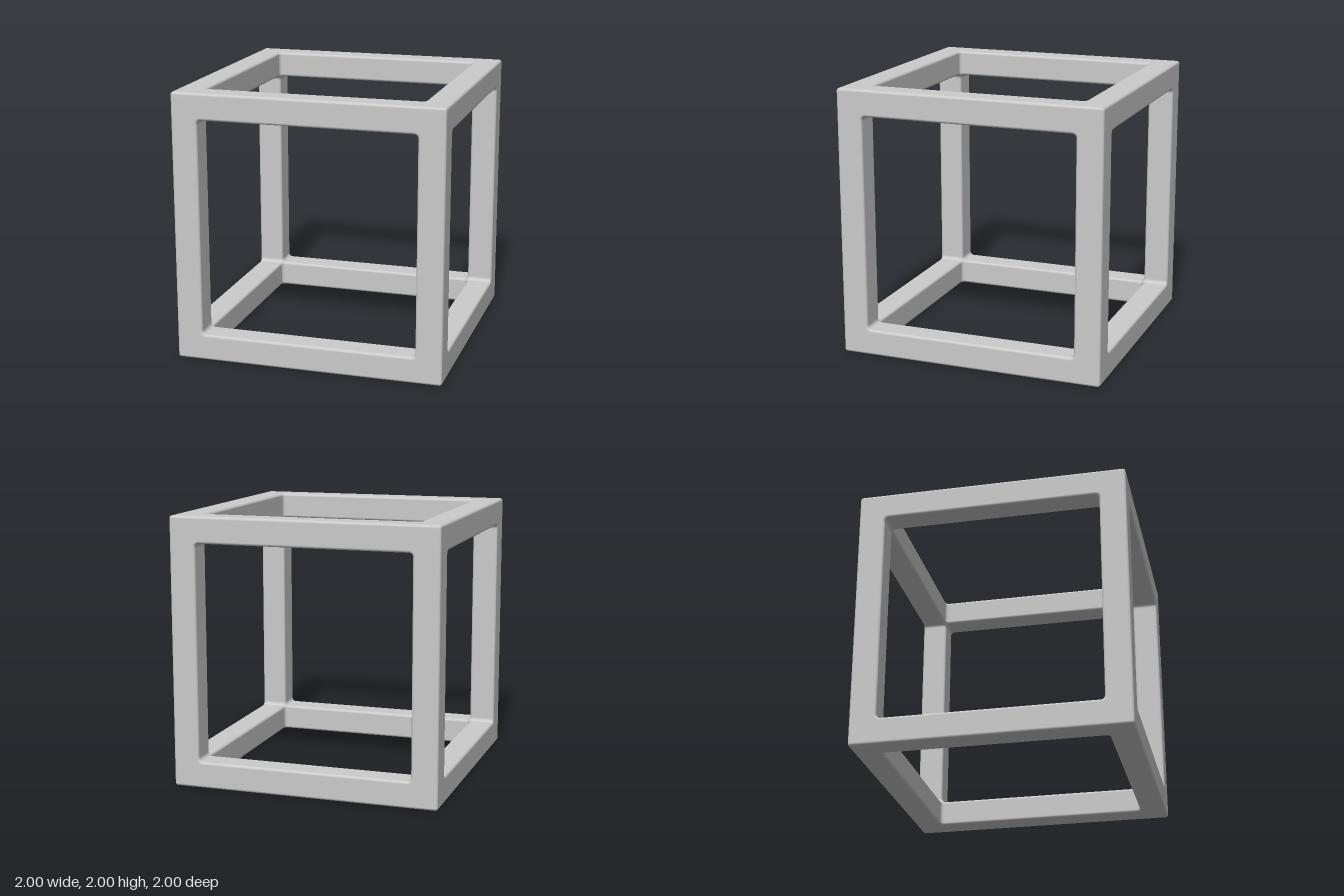
import * as THREE from 'three';

const OUTER = 1;      // half size of the cube
const INNER = 0.804;  // half size of the square openings
const ROUND = 0.02;   // radius of the outside edges
const FILLET = 0.03;  // radius of the opening corners

// Signed distance to one square opening with rounded corners
function opening(u, v) {
  const a = u - INNER + FILLET, b = v - INNER + FILLET;
  return Math.hypot(Math.max(a, 0), Math.max(b, 0)) + Math.min(Math.max(a, b), 0) - FILLET;
}

// Distance to the frame: cube minus three square tunnels, with rounded edges
function frameDistance(p) {
  const x = Math.abs(p.x), y = Math.abs(p.y), z = Math.abs(p.z);
  const d = [x - OUTER, y - OUTER, z - OUTER, -opening(y, z), -opening(x, z), -opening(x, y)];
  return Math.min(-ROUND, Math.max(...d)) + Math.hypot(...d.map((v) => Math.max(v + ROUND, 0)));
}

function gradient(p) {
  const e = 1e-4, g = new THREE.Vector3();
  for (const k of ['x', 'y', 'z']) {
    const a = p.clone(), b = p.clone();
    a[k] += e;
    b[k] -= e;
    g[k] = (frameDistance(a) - frameDistance(b)) / (2 * e);
  }
  return g;
}

// Rounded square cross-section of a beam, counter-clockwise in (y, z)
function beamSection() {
  const c = (OUTER + INNER) / 2, h = (OUTER - INNER) / 2 - ROUND, points = [];
  const arc = 6;
  for (let q = 0; q < 4; q++) {
    const mid = Math.PI / 4 + q * Math.PI / 2;
    for (let i = 0; i <= arc; i++) {
      const a = q * Math.PI / 2 + (i / arc) * Math.PI / 2;
      points.push([
        c + h * Math.sign(Math.cos(mid)) + ROUND * Math.cos(a),
        c + h * Math.sign(Math.sin(mid)) + ROUND * Math.sin(a),
      ]);
    }
  }
  return points;
}

// Beam along x, mitred where it meets its neighbours, drawn onto the rounded surface
function beamGeometry() {
  const section = beamSection(), n = section.length;
  const half = [1, 0.993, 0.986, 0.979, 0.972, 0.965, 0.955, 0.93, 0.85];
  const rings = [...half.map((t) => -t), 0, ...half.slice().reverse()];
  const positions = [], normals = [], index = [];
  rings.forEach((t, i) => {
    section.forEach(([y, z], j) => {
      const p = new THREE.Vector3(t * Math.min(y, z), y, z);
      for (let s = 0; s < 8; s++) {
        const g = gradient(p);
        p.addScaledVector(g, -frameDistance(p) / Math.max(g.lengthSq(), 0.25));
      }
      positions.push(p.x, p.y, p.z);
      normals.push(...gradient(p).normalize().toArray());
      if (i < rings.length - 1) {
        const a = i * n + j, b = i * n + (j + 1) % n;
        index.push(a, b, a + n, b, b + n, a + n);
      }
    });
  });
  const geometry = new THREE.BufferGeometry();
  geometry.setAttribute('position', new THREE.Float32BufferAttribute(positions, 3));
  geometry.setAttribute('normal', new THREE.Float32BufferAttribute(normals, 3));
  geometry.setIndex(index);
  return geometry;
}

export function createModel() {
  const model = new THREE.Group();
  model.name = 'cubeFrame';
  const material = new THREE.MeshStandardMaterial({ color: 0xcccccc });
  const geometry = beamGeometry();

  // Four parallel beams for each of the three directions
  const directions = [
    ['widthBeams', 0, 0],
    ['depthBeams', Math.PI / 2, 0],
    ['uprightBeams', 0, Math.PI / 2],
  ];
  for (const [name, turnY, turnZ] of directions) {
    const set = new THREE.Group();
    set.name = name;
    for (let i = 0; i < 4; i++) {
      const beam = new THREE.Mesh(geometry, material);
      beam.name = 'beam';
      beam.rotation.x = i * Math.PI / 2;
      set.add(beam);
    }
    set.rotation.set(0, turnY, turnZ);
    set.position.y = OUTER;
    model.add(set);
  }
  return model;
}
